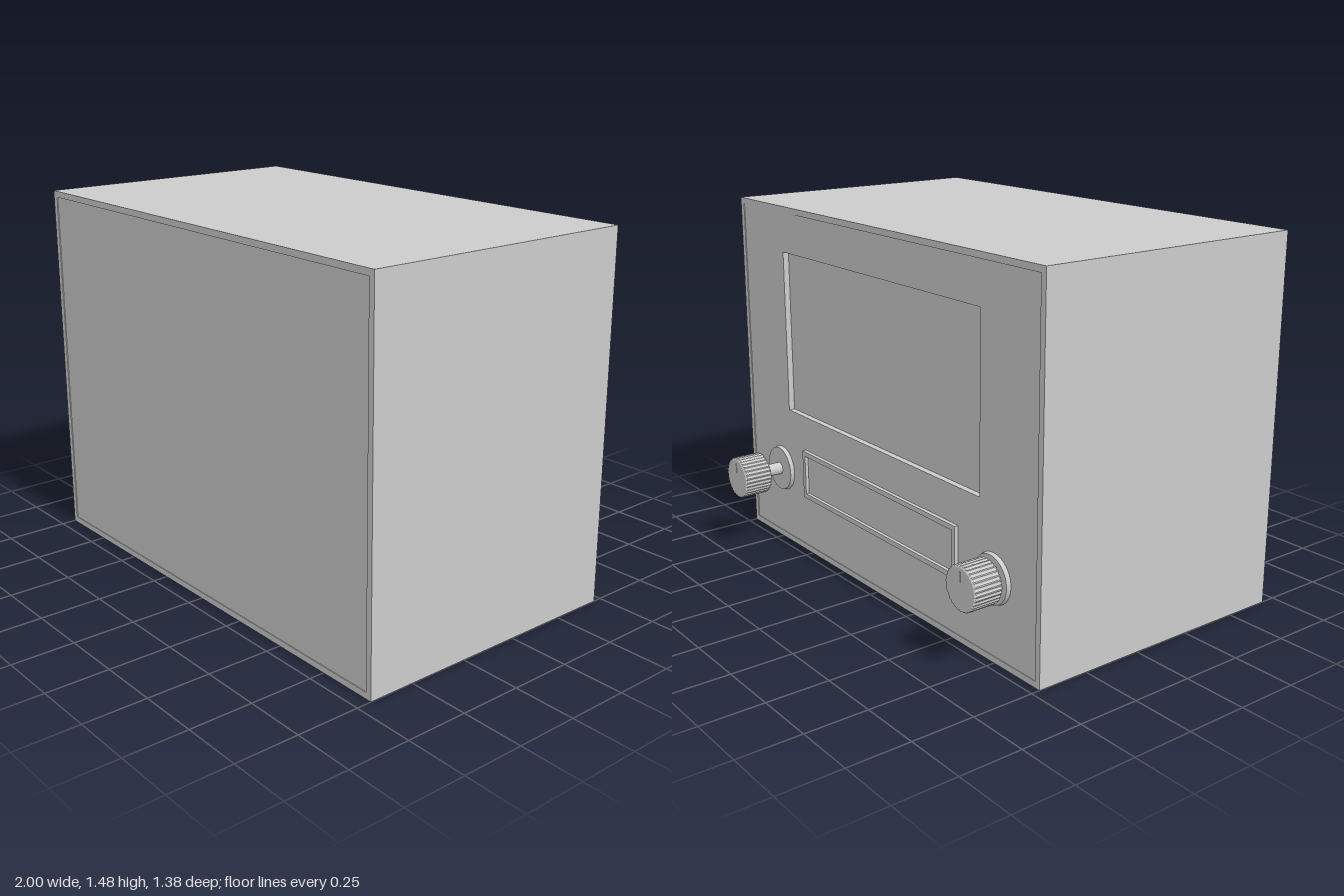
import * as THREE from 'three';

const W = 2, H = 1.475, BACK = -0.465, FRONT = 0.69;
const material = new THREE.MeshStandardMaterial({ color: 0xcccccc });

function add(parent, name, geometry, x = 0, y = 0, z = 0) {
  const mesh = new THREE.Mesh(geometry, material);
  mesh.name = name;
  mesh.position.set(x, y, z);
  parent.add(mesh);
  return mesh;
}

// Points of a rectangle given by its edges
const rect = (x0, x1, y0, y1) => [[x0, y0], [x1, y0], [x1, y1], [x0, y1]].map(p => new THREE.Vector2(...p));

// Flat plate with an optional rectangular hole, reaching from z0 to z1
function plate(outer, hole, z0, z1) {
  const shape = new THREE.Shape(rect(...outer));
  if (hole) shape.holes.push(new THREE.Path(rect(...hole).reverse()));
  return new THREE.ExtrudeGeometry(shape, { depth: z1 - z0, bevelEnabled: false }).translate(0, 0, z0);
}

// Cylinder whose axis runs along z, from z0 to z1
function disc(r0, r1, z0, z1) {
  return new THREE.CylinderGeometry(r1, r0, Math.abs(z1 - z0), 48).rotateX(-Math.PI / 2).translate(0, 0, (z0 + z1) / 2);
}

// Ribbed knob on a shaft with a round base plate
function knob(name, x, near, far) {
  const group = new THREE.Group();
  group.name = name;
  group.position.set(x, 0.325, 0);
  add(group, 'knobBasePlate', disc(0.099, 0.094, BACK + 0.01, BACK - 0.014));
  add(group, 'knobShaft', disc(0.026, 0.026, BACK, near - 0.02));

  const ribs = 32, bevel = 0.007, points = [];
  for (let i = 0; i < ribs * 4; i++) {
    const r = i % 4 < 2 ? 0.087 : 0.084;
    const a = (i / (ribs * 4)) * Math.PI * 2;
    points.push(new THREE.Vector2(Math.cos(a) * r, Math.sin(a) * r));
  }
  const grip = new THREE.ExtrudeGeometry(new THREE.Shape(points), {
    depth: near - far - 2 * bevel, bevelThickness: bevel, bevelSize: bevel, bevelOffset: -bevel, bevelSegments: 3,
  });
  add(group, 'knobGrip', grip, 0, 0, far + bevel);
  add(group, 'knobMark', new THREE.BoxGeometry(0.007, 0.04, 0.004), 0, 0.045, far);
  return group;
}

export function createModel() {
  const model = new THREE.Group();
  model.name = 'radio';

  // Case: a box-shaped sleeve closed by two panels set in a hair
  const wall = 0.025, w = W / 2 - wall;
  add(model, 'caseSleeve', plate([-W / 2, W / 2, 0, H], [-w, w, wall, H - wall], BACK, FRONT));
  add(model, 'plainPanel', plate([-w, w, wall, H - wall], null, FRONT - 0.04, FRONT - 0.003));

  // Control panel with the wide speaker opening and its recessed cover
  const opening = [-0.66, 0.66, 0.605, 1.285];
  add(model, 'controlPanel', plate([-w, w, wall, H - wall], opening, BACK + 0.003, BACK + 0.04));
  add(model, 'speakerCover', plate([-0.67, 0.67, 0.595, 1.295], null, BACK + 0.028, BACK + 0.05));

  // Raised frame around the tuning dial
  add(model, 'dialFrame', plate([-0.535, 0.535, 0.25, 0.458], [-0.515, 0.515, 0.27, 0.438], BACK - 0.013, BACK + 0.01));
  add(model, 'dialWindow', plate([-0.52, 0.52, 0.265, 0.443], null, BACK + 0.001, BACK + 0.01));

  // One knob is pulled out, the other pushed in
  model.add(knob('pulledKnob', 0.735, -0.565, -0.688));
  model.add(knob('pushedKnob', -0.74, -0.488, -0.61));
  return model;
}
